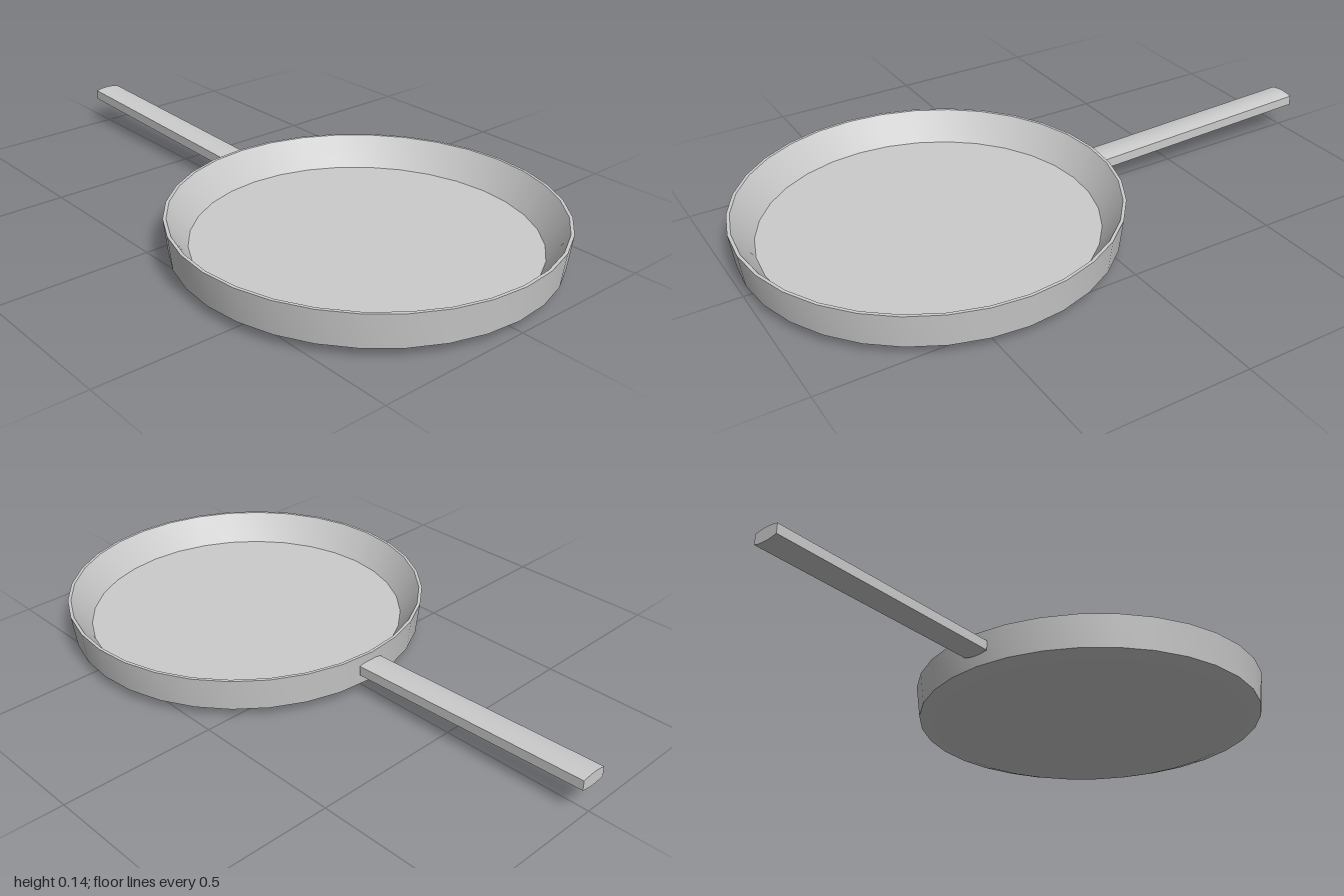
import * as THREE from 'three';
import { toCreasedNormals } from 'three/addons/utils/BufferGeometryUtils.js';

const PAN_Z = 0.408;

export function createModel() {
  const group = new THREE.Group();
  const material = new THREE.MeshStandardMaterial({ color: 0xcccccc });

  const add = (name, geometry, crease) => {
    const mesh = new THREE.Mesh(toCreasedNormals(geometry, crease), material);
    mesh.name = name;
    group.add(mesh);
    return mesh;
  };

  // Pan: slightly bowed underside, bevelled foot, flared wall, thin rim, flat floor
  const profile = [
    [0, 0], [0.16, 0.002], [0.4, 0.005], [0.52, 0.009], [0.58, 0.031],
    [0.592, 0.138], [0.582, 0.138], [0.522, 0.045], [0, 0.045],
  ].map(([r, y]) => new THREE.Vector2(r, y));
  add('pan', new THREE.LatheGeometry(profile, 32), 0.5).position.z = PAN_Z;

  // Handle: flat bar with gently arched top and bottom, rising toward its end
  const w = 0.045, h = 0.016, arch = 0.012, length = 0.822, rise = 0.024;
  const section = new THREE.Shape();
  section.moveTo(-w, -h);
  section.quadraticCurveTo(0, -h - arch, w, -h);
  section.lineTo(w, h);
  section.quadraticCurveTo(0, h + arch, -w, h);
  section.closePath();
  const bar = new THREE.ExtrudeGeometry(section, { depth: length, bevelEnabled: false, curveSegments: 6 });
  const p = bar.attributes.position;
  for (let i = 0; i < p.count; i++) {
    p.setY(i, p.getY(i) - rise * p.getZ(i) / length);
  }
  add('handle', bar, 0.6).position.set(0, 0.111, -1);

  return group;
}
